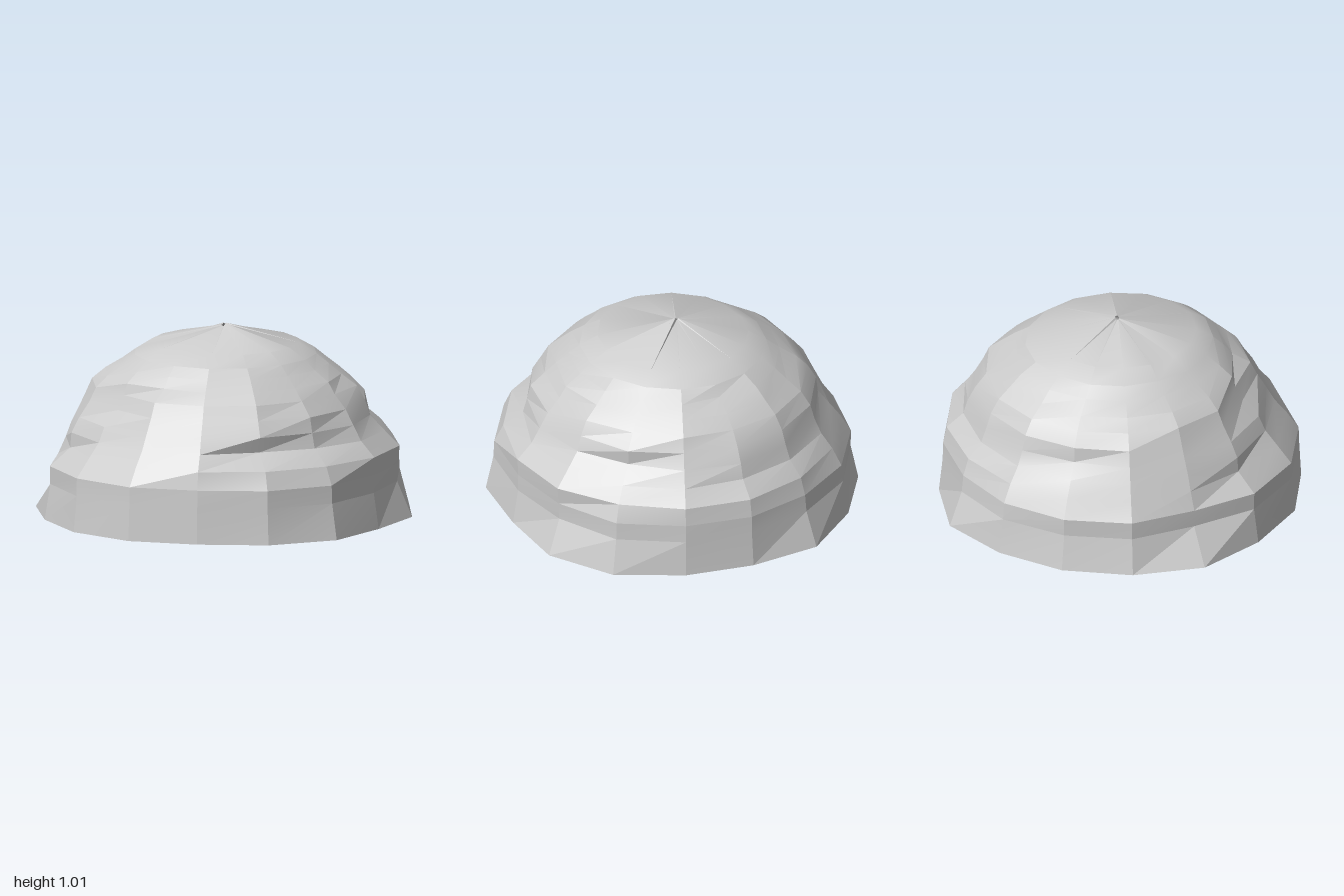
import * as THREE from 'three';
import { toCreasedNormals } from 'three/addons/utils/BufferGeometryUtils.js';

const SIDES = 16;
const CENTRE_Z = 0.02;

// Radius at each corner of the foot and the skirt top, from the left side round by the front
const FOOT = [1, 0.95, 1, 0.98, 0.94, 0.97, 0.98, 0.97, 1, 0.97, 0.96, 0.96, 0.99, 0.94, 0.95, 1];
const SKIRT = [0.92, 0.92, 0.96, 0.96, 0.93, 0.96, 0.96, 0.94, 0.88, 0.92, 0.92, 0.93, 0.92, 0.92, 0.93, 0.95];

// Courses above the skirt: height, then radius to the left, front, right and back
const COURSES = [
  [0.39, 0.93, 0.90, 0.85, 0.88],
  [0.47, 0.85, 0.83, 0.81, 0.81],
  [0.55, 0.78, 0.79, 0.77, 0.78],
  [0.63, 0.76, 0.75, 0.73, 0.74],
  [0.705, 0.70, 0.70, 0.69, 0.69],
  [0.765, 0.63, 0.65, 0.62, 0.62],
  [0.82, 0.56, 0.58, 0.54, 0.56],
  [0.87, 0.49, 0.52, 0.47, 0.48],
  [0.925, 0.40, 0.43, 0.38, 0.38],
];

// Broken spots: course, corner, change of radius
const DENTS = [
  [1, 3, -0.05], [1, 2, -0.03], [2, 15, -0.03], [3, 6, -0.05], [4, 6, -0.04],
  [5, 5, -0.03], [6, 13, -0.03], [2, 10, -0.03], [4, 1, -0.03], [0, 7, -0.02],
];

function seeded(seed) {
  return () => {
    seed = (seed * 16807) % 2147483647;
    return seed / 2147483647;
  };
}

function point(corner, radius, y) {
  const a = (corner / SIDES) * Math.PI * 2;
  return new THREE.Vector3(Math.cos(a) * radius, y, Math.sin(a) * radius + CENTRE_Z);
}

function buildRings() {
  const random = seeded(71);
  const rings = [
    FOOT.map((r, k) => point(k, r, 0.01)),
    SKIRT.map((r, k) => point(k, r, 0.2)),
    SKIRT.map((r, k) => point(k, r + 0.005 - 0.015 * random(), 0.295)),
  ];
  COURSES.forEach(([y, ...radii], c) => {
    const rough = c > 6 ? 0.006 : 0.024;
    rings.push(FOOT.map((_, k) => {
      const q = Math.floor(k / 4);
      let r = THREE.MathUtils.lerp(radii[q], radii[(q + 1) % 4], (k % 4) / 4);
      r += (random() - 0.5) * rough;
      for (const [dc, dk, d] of DENTS) if (dc === c && dk === k) r += d;
      return point(k, r, y);
    }));
  });
  // Ragged little opening at the peak
  rings.push(FOOT.map((_, k) => point(k, 0.012, 1.012 + (random() - 0.5) * 0.016)));
  return rings;
}

export function createModel() {
  const group = new THREE.Group();
  group.name = 'dome';
  const material = new THREE.MeshStandardMaterial({ color: 0xcccccc, side: THREE.DoubleSide });
  const rings = buildRings();

  // A wall of quads between consecutive rings
  function addWall(name, from, to, crease) {
    const out = [];
    for (let i = from; i < to; i++) {
      for (let k = 0; k < SIDES; k++) {
        const n = (k + 1) % SIDES;
        const a = rings[i][k], b = rings[i][n], c = rings[i + 1][n], d = rings[i + 1][k];
        out.push(a, d, b, b, d, c);
      }
    }
    const geometry = new THREE.BufferGeometry().setFromPoints(out);
    const mesh = new THREE.Mesh(toCreasedNormals(geometry, crease), material);
    mesh.name = name;
    group.add(mesh);
  }

  // Open flared foot, rough stepped shell, then a smooth shallow crown
  addWall('baseSkirt', 0, 2, 0.15);
  addWall('domeShell', 2, 10, 0.25);
  addWall('crown', 10, rings.length - 1, 0.7);
  return group;
}
